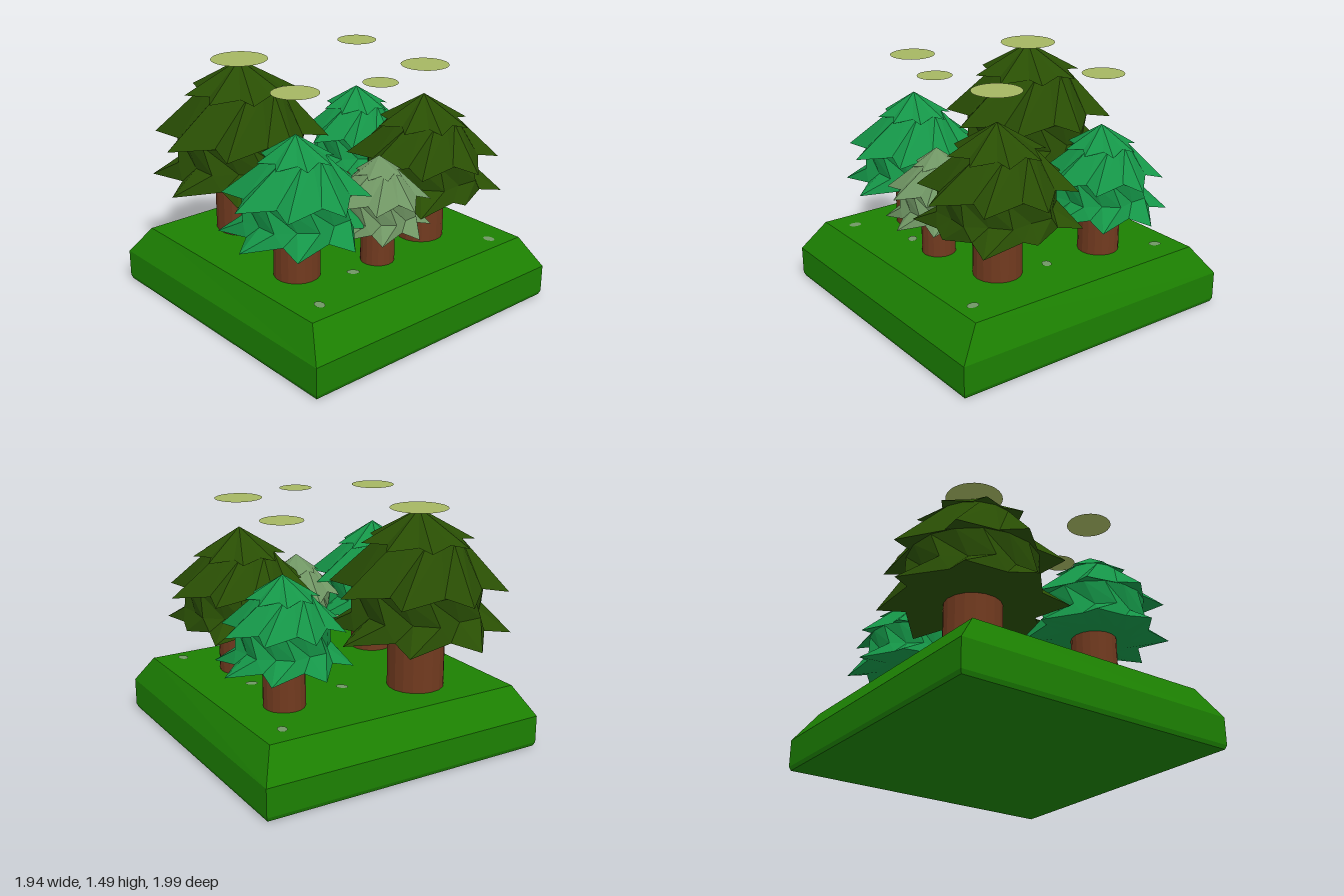
import * as THREE from 'three';

const material = (name, color, extra = {}) =>
  Object.assign(new THREE.MeshStandardMaterial({ color, ...extra }), { name });

// Skin a stack of point rings (top to bottom, counter-clockwise from above) with flat facets
function loft(rings) {
  const pos = [];
  for (let r = 0; r < rings.length - 1; r++) {
    const up = rings[r], low = rings[r + 1], n = up.length;
    for (let i = 0; i < n; i++) {
      const j = (i + 1) % n;
      pos.push(...up[i], ...low[i], ...low[j], ...up[i], ...low[j], ...up[j]);
    }
  }
  const geo = new THREE.BufferGeometry();
  geo.setAttribute('position', new THREE.Float32BufferAttribute(pos, 3));
  geo.computeVertexNormals();
  return geo;
}

const SIDES = 16, STEP = Math.PI * 2 / SIDES;
const ring = fn => Array.from({ length: SIDES }, (_, i) => {
  const [r, y, a] = fn(i);
  return [r * Math.sin(a), y, r * Math.cos(a)];
});

// Three swirling tiers of eight drooping points each
function foliageGeometry(apex, tiers) {
  const rings = [ring(() => [0, apex, 0])];
  const middle = tiers[1], bottom = tiers[2];
  tiers.forEach(([radius, y, phase, short = 1], t) => {
    const drop = t === 0 ? 0.02 : 0.035;
    // waist above the flared bottom tier
    if (t === 2) {
      const waist = THREE.MathUtils.lerp(y, middle[1], 0.5);
      rings.push(ring(i => [middle[0] * (i % 2 ? 0.68 : 0.76), waist, (i + 1) * STEP + phase]));
    }
    rings.push(ring(i => i % 2
      ? [radius * 0.74, y + drop, (i + 0.4) * STEP + phase]
      : [radius * (i % 4 ? 1 : short), y, i * STEP + phase]));
    // underside tucked in below the rim
    if (t < 2) rings.push(ring(i => [radius * 0.73, y + drop, (i + 0.8) * STEP + phase]));
  });
  rings.push(ring(i => [bottom[0] * 0.5, bottom[1] + 0.01, (i + 0.4) * STEP + bottom[2]]));
  rings.push(ring(() => [0, bottom[1] + 0.01, 0]));
  return loft(rings);
}

export function createModel() {
  const model = new THREE.Group();
  model.name = 'forestTile';
  const grass = material('grass green', 0x1c8002);
  const bark = material('bark brown', 0x713a1f);
  const olive = material('dark olive', 0x294e04);
  const teal = material('emerald', 0x159648);
  const sage = material('sage grey', 0x709664);
  const cut = material('pale wood', 0xa5b662, { side: THREE.DoubleSide });

  const add = (parent, geo, mat, name, x = 0, y = 0, z = 0) => {
    const mesh = new THREE.Mesh(geo, mat);
    mesh.name = name;
    mesh.position.set(x, y, z);
    parent.add(mesh);
    return mesh;
  };

  // Bevelled ground block, slightly narrower at the front: [y, left, right, back, front, taper]
  const levels = [
    [0.38, 0.02, 0.02, 0.05, 0.05, 0],
    [0.38, -0.83, 0.868, -0.765, 0.86, 0],
    [0.2, -0.93, 0.965, -0.9, 1, 0.01],
    [0.025, -0.93, 0.965, -0.9, 1, 0.01],
    [0, -0.92, 0.955, -0.89, 0.99, 0.01],
    [0, 0.02, 0.02, 0.05, 0.05, 0],
  ];
  add(model, loft(levels.map(([y, x0, x1, z0, z1, taper]) =>
    [[x0 + taper, y, z1], [x1 - taper, y, z1], [x1, y, z0], [x0, y, z0]])), grass, 'ground');

  // Trees: tiers are [radius, tip height, rotation, length of every other point]
  const E = Math.PI / 8;
  const trees = [
    { name: 'tallOliveTree', x: -0.34, z: -0.425, trunk: 0.177, apex: 1.49, mat: olive,
      tiers: [[0.35, 1.29, E], [0.55, 1.01, 0], [0.57, 0.74, 0.1]] },
    { name: 'frontOliveTree', x: 0.44, z: 0.4, trunk: 0.147, apex: 1.31, mat: olive,
      tiers: [[0.29, 1.13, E], [0.47, 0.915, 0], [0.5, 0.69, 0, 0.76]] },
    { name: 'leftEmeraldTree', x: -0.52, z: 0.345, trunk: 0.139, apex: 1.25, mat: teal,
      tiers: [[0.23, 1.1, E], [0.435, 0.885, 0], [0.455, 0.665, 0.12]] },
    { name: 'backEmeraldTree', x: 0.525, z: -0.31, trunk: 0.127, apex: 1.18, mat: teal,
      tiers: [[0.22, 1.04, E], [0.375, 0.86, 0], [0.41, 0.645, 0.12]] },
    { name: 'smallSageTree', x: -0.025, z: 0.505, trunk: 0.104, apex: 1.05, mat: sage,
      tiers: [[0.15, 0.94, E], [0.31, 0.785, 0], [0.32, 0.605, 0.12]] },
  ];
  for (const t of trees) {
    const tree = new THREE.Group();
    tree.name = t.name;
    tree.position.set(t.x, 0, t.z);
    model.add(tree);
    const low = 0.37, high = t.tiers[2][1] + 0.03;
    // faceted trunk
    const trunk = new THREE.CylinderGeometry(t.trunk, t.trunk, high - low, 18).toNonIndexed();
    trunk.computeVertexNormals();
    add(tree, trunk, bark, 'trunk', 0, (low + high) / 2, 0);
    add(tree, foliageGeometry(t.apex, t.tiers), t.mat, 'foliage');
    // flat disc level with the tallest treetop
    add(tree, new THREE.CircleGeometry(t.trunk, 32).rotateX(-Math.PI / 2), cut, 'woodDisc', 0, 1.492, 0);
  }

  // Flat pebbles on the grass
  const pebble = new THREE.CircleGeometry(0.033, 9).rotateX(-Math.PI / 2).scale(0.9, 1, 1.2);
  [[0.71, -0.62], [-0.67, 0.73], [0.7, 0.76], [0.08, 0.12], [0.08, -0.24], [-0.26, 0.55], [0.53, 0.1]]
    .forEach(([x, z], i) => {
      add(model, pebble, sage, 'pebble', x, 0.384, z).rotation.y = -0.4 + i * 0.25;
    });

  return model;
}
